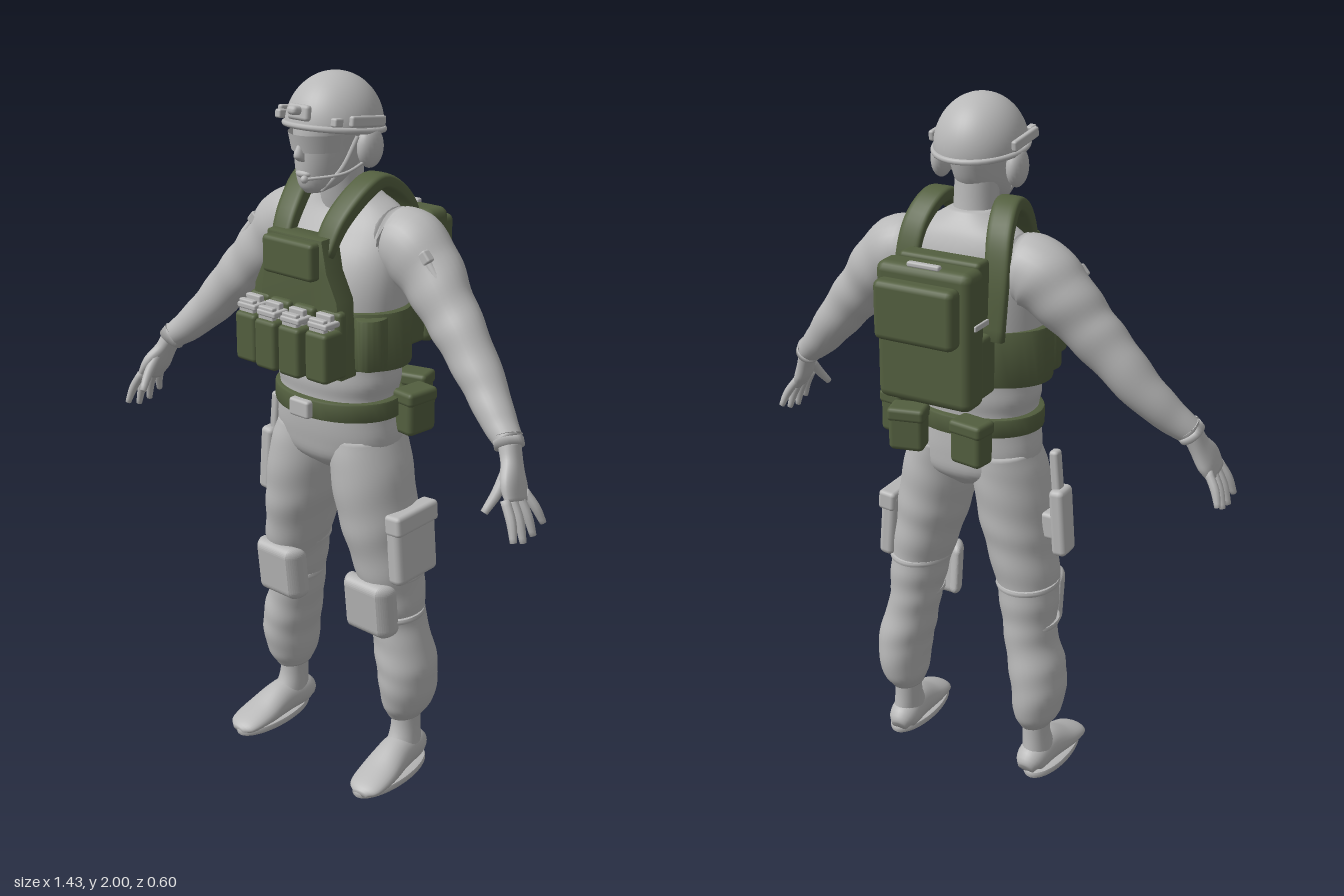
import * as THREE from 'three';
import { toCreasedNormals } from 'three/addons/utils/BufferGeometryUtils.js';
import { RoundedBoxGeometry } from 'three/addons/geometries/RoundedBoxGeometry.js';

const grey = new THREE.MeshStandardMaterial({ color: 0xb8b8b8, side: THREE.DoubleSide });
grey.name = 'cloth grey';
const green = new THREE.MeshStandardMaterial({ color: 0x535f3f, side: THREE.DoubleSide });
green.name = 'webbing green';

function add(parent, name, geo, mat, x = 0, y = 0, z = 0) {
  const m = new THREE.Mesh(geo, mat);
  m.name = name;
  m.position.set(x, y, z);
  parent.add(m);
  return m;
}

// Rounded box
const box = (p, name, mat, w, h, d, x, y, z, r = 0.012) =>
  add(p, name, new RoundedBoxGeometry(w, h, d, 2, Math.min(r, w * 0.45, h * 0.45, d * 0.45)), mat, x, y, z);

// Smooth skin over elliptical rings; rows are [x, y, z, radiusA, radiusB]
function loft(rows, { level = false, n = 28, steps = 5, power = 1, ripple = 0 } = {}) {
  const path = new THREE.CatmullRomCurve3(rows.map(r => new THREE.Vector3(r[0], r[1], r[2])), false, 'catmullrom');
  const size = new THREE.CatmullRomCurve3(rows.map(r => new THREE.Vector3(r[3], r[4], 0)), false, 'catmullrom');
  const count = (rows.length - 1) * steps, pos = [], idx = [];
  const bend = v => Math.sign(v) * Math.abs(v) ** power;
  for (let i = 0; i <= count; i++) {
    const u = i / count, c = path.getPoint(u), r = size.getPoint(u);
    const t = level ? new THREE.Vector3(0, Math.sign(rows.at(-1)[1] - rows[0][1]), 0) : path.getTangent(u);
    const a = new THREE.Vector3(1, 0, 0).addScaledVector(t, -t.x).normalize();
    const b = t.clone().cross(a);
    for (let j = 0; j < n; j++) {
      const q = j / n * Math.PI * 2;
      const k = 1 + ripple * Math.sin(u * rows.length * 5 + 1.6 * Math.cos(q + u * 4)) * Math.sin(u * Math.PI);
      const p = c.clone().addScaledVector(a, bend(Math.cos(q)) * r.x * k).addScaledVector(b, bend(Math.sin(q)) * r.y * k);
      pos.push(p.x, p.y, p.z);
      if (i < count) {
        const o = i * n + j, e = i * n + (j + 1) % n;
        idx.push(o, e, o + n, e, e + n, o + n);
      }
    }
  }
  // End caps
  for (const [row, base, flip] of [[rows[0], 0, true], [rows.at(-1), count * n, false]]) {
    const mid = pos.length / 3;
    pos.push(row[0], row[1], row[2]);
    for (let j = 0; j < n; j++) {
      const o = base + j, e = base + (j + 1) % n;
      idx.push(mid, flip ? e : o, flip ? o : e);
    }
  }
  const g = new THREE.BufferGeometry();
  g.setAttribute('position', new THREE.Float32BufferAttribute(pos, 3));
  g.setIndex(idx);
  g.computeVertexNormals();
  return g;
}

// Flat oval slab with bevelled edges
function slab(rx, rz, h) {
  const b = 0.006, s = new THREE.Shape().absellipse(0, 0, rx - b, rz - b, 0, Math.PI * 2);
  const g = new THREE.ExtrudeGeometry(s, { depth: h - 2 * b, bevelThickness: b, bevelSize: b, bevelSegments: 2, curveSegments: 20 });
  return toCreasedNormals(g.rotateX(-Math.PI / 2).translate(0, b, 0), 0.7);
}

function buildHead(root) {
  const head = new THREE.Group();
  head.name = 'head';
  root.add(head);
  add(head, 'neck', loft([[0, 1.62, 0.015, 0.07, 0.06], [0, 1.7, 0.035, 0.06, 0.06], [0, 1.82, 0.05, 0.06, 0.065]], { level: true }), grey);
  add(head, 'face', loft([[0, 1.705, 0.14, 0.022, 0.03], [0, 1.725, 0.12, 0.048, 0.065], [0, 1.765, 0.092, 0.066, 0.1],
    [0, 1.82, 0.078, 0.077, 0.115], [0, 1.88, 0.07, 0.085, 0.118], [0, 1.93, 0.07, 0.07, 0.1]], { level: true }), grey);
  add(head, 'nose', loft([[0, 1.835, 0.19, 0.008, 0.01], [0, 1.805, 0.197, 0.013, 0.018], [0, 1.79, 0.19, 0.012, 0.008]], { n: 12, level: true }), grey);
  add(head, 'mouth', new THREE.SphereGeometry(0.025, 14, 10).scale(1, 0.45, 0.6), grey, 0, 1.757, 0.182);
  const visor = new THREE.CylinderGeometry(0.087, 0.08, 0.045, 24, 1, true, -1.2, 2.4).scale(1, 1, 1.35);
  add(head, 'eyewear', visor, grey, 0, 1.835, 0.09);
  // Helmet tilts slightly back
  const helmet = new THREE.Group();
  helmet.name = 'helmet';
  helmet.position.set(0, 1.862, 0.065);
  helmet.rotation.x = -0.12;
  head.add(helmet);
  add(helmet, 'helmetShell', new THREE.SphereGeometry(1, 40, 20, 0, Math.PI * 2, 0, Math.PI / 2).scale(0.122, 0.138, 0.135), grey);
  add(helmet, 'helmetRim', new THREE.TorusGeometry(1, 0.06, 8, 40).rotateX(Math.PI / 2).scale(0.122, 0.13, 0.135), grey);
  box(helmet, 'frontMount', grey, 0.07, 0.04, 0.02, 0, 0.035, 0.135);
  box(helmet, 'frontLamp', grey, 0.03, 0.022, 0.04, 0, 0.04, 0.15);
  for (const s of [-1, 1]) {
    box(helmet, 'sideRail', grey, 0.016, 0.028, 0.13, s * 0.122, 0.025, 0.015, 0.006);
    box(helmet, 'railClip', grey, 0.02, 0.022, 0.03, s * 0.095, 0.02, 0.1, 0.005);
    const cup = new THREE.SphereGeometry(1, 20, 14).scale(0.026, 0.053, 0.043);
    add(head, 'earCup', cup, grey, s * 0.112, 1.82, 0.055);
    const strap = new THREE.CatmullRomCurve3([[0.1, 1.85, 0.09], [0.073, 1.77, 0.12], [0.03, 1.712, 0.15]].map(p => new THREE.Vector3(s * p[0], p[1], p[2])));
    add(head, 'chinStrap', new THREE.TubeGeometry(strap, 12, 0.006, 6), grey);
  }
  const boom = new THREE.CatmullRomCurve3([[0.115, 1.79, 0.07], [0.1, 1.765, 0.14], [0.035, 1.752, 0.213]].map(p => new THREE.Vector3(...p)));
  add(head, 'microphoneBoom', new THREE.TubeGeometry(boom, 14, 0.004, 6), grey);
  add(head, 'microphone', new THREE.SphereGeometry(0.01, 10, 8), grey, 0.032, 1.752, 0.215);
}

function buildArm(root, s) {
  const arm = new THREE.Group();
  arm.name = s > 0 ? 'leftArm' : 'rightArm';
  root.add(arm);
  const limb = (name, rows, opt) => add(arm, name, loft(rows.map(([x, ...r]) => [s * x, ...r]), opt), grey);
  limb('sleeve', [[0.12, 1.575, 0, 0.08, 0.08], [0.2, 1.568, 0, 0.098, 0.095], [0.27, 1.515, 0.005, 0.09, 0.085],
    [0.34, 1.44, 0.02, 0.077, 0.072], [0.41, 1.365, 0.035, 0.068, 0.065], [0.49, 1.275, 0.055, 0.057, 0.058],
    [0.56, 1.205, 0.085, 0.046, 0.047], [0.61, 1.165, 0.105, 0.036, 0.038]], { ripple: 0.025, steps: 8 });
  limb('cuff', [[0.6, 1.178, 0.1, 0.038, 0.041], [0.615, 1.155, 0.11, 0.038, 0.041]], { steps: 2 });
  limb('palm', [[0.612, 1.165, 0.108, 0.026, 0.032], [0.63, 1.125, 0.12, 0.023, 0.035],
    [0.652, 1.08, 0.14, 0.022, 0.05], [0.672, 1.04, 0.152, 0.014, 0.046]], { power: 0.85 });
  const digit = (name, a, b, r) => {
    const mid = a.map((v, i) => (v + b[i]) / 2 + (i === 0 ? 0.006 : 0));
    limb(name, [[...a, r, r], [...mid, r, r], [...b, r * 0.7, r * 0.7]], { n: 10, steps: 4 });
  };
  for (let i = 0; i < 4; i++) {
    const drop = [0.025, 0.005, 0, 0.015][i];
    digit('finger', [0.664, 1.055, 0.113 + i * 0.026], [0.708, 0.945 + drop, 0.085 + i * 0.042], 0.0125);
  }
  digit('thumb', [0.635, 1.11, 0.15], [0.625, 1.02, 0.222], 0.014);
  // Upper sleeve pocket
  const patch = new THREE.Group();
  patch.name = 'sleevePocket';
  patch.position.set(s * 0.325, 1.535, 0.02);
  patch.rotation.z = -s * 0.86;
  arm.add(patch);
  box(patch, 'pocketBody', grey, 0.11, 0.03, 0.1, 0, -0.004, 0);
  box(patch, 'pocketFlap', grey, 0.035, 0.034, 0.106, -s * 0.04, 0, 0, 0.006);
}

function buildLeg(root, s) {
  const leg = new THREE.Group();
  leg.name = s > 0 ? 'leftLeg' : 'rightLeg';
  root.add(leg);
  const limb = (name, rows, opt) => add(leg, name, loft(rows.map(([x, ...r]) => [s * x, ...r]), opt), grey);
  limb('trouserLeg', [[0.1, 1.04, 0.04, 0.085, 0.12], [0.112, 0.96, 0.045, 0.103, 0.127], [0.13, 0.85, 0.045, 0.107, 0.125],
    [0.15, 0.75, 0.042, 0.099, 0.118], [0.175, 0.64, 0.035, 0.089, 0.105], [0.187, 0.55, 0.025, 0.08, 0.095],
    [0.196, 0.47, 0.018, 0.075, 0.088], [0.218, 0.38, 0.015, 0.081, 0.096], [0.23, 0.3, 0.013, 0.077, 0.1],
    [0.228, 0.22, 0.01, 0.067, 0.088], [0.222, 0.172, 0.012, 0.045, 0.06]], { level: true, ripple: 0.02, steps: 8 });
  limb('ankle', [[0.222, 0.22, 0.012, 0.04, 0.048], [0.224, 0.13, 0.014, 0.04, 0.048], [0.228, 0.06, 0.03, 0.045, 0.07]], { level: true });
  limb('foot', [[0.222, 0.03, -0.05, 0.025, 0.02], [0.224, 0.05, -0.02, 0.045, 0.046], [0.23, 0.055, 0.06, 0.05, 0.055],
    [0.238, 0.037, 0.15, 0.058, 0.035], [0.243, 0.024, 0.22, 0.05, 0.02], [0.245, 0.016, 0.245, 0.022, 0.01]]);
  add(leg, 'sole', slab(0.062, 0.148, 0.022), grey, s * 0.235, 0, 0.1);
  // Curved knee pad
  const pad = new RoundedBoxGeometry(0.166, 0.17, 0.06, 5, 0.028), p = pad.attributes.position;
  for (let i = 0; i < p.count; i++) p.setZ(i, p.getZ(i) - 5 * p.getX(i) ** 2 + p.getY(i) * 0.1);
  pad.computeVertexNormals();
  add(leg, 'kneePad', pad, grey, s * 0.17, 0.55, 0.138);
  for (const y of [0.5, 0.625]) add(leg, 'kneeStrap', slab(0.09 - (0.625 - y) * 0.08, 0.104 - (0.625 - y) * 0.1, 0.018), grey, s * (0.178 + (0.625 - y) * 0.12), y, 0.03);
}

function buildVest(root) {
  const vest = new THREE.Group();
  vest.name = 'vest';
  root.add(vest);
  add(vest, 'waistBand', slab(0.222, 0.148, 0.16), green, 0, 1.25, 0.048);
  const outline = new THREE.Shape([[-0.15, 1.25], [0.15, 1.25], [0.14, 1.45], [0.105, 1.52], [0.09, 1.6], [-0.09, 1.6], [-0.105, 1.52], [-0.14, 1.45]]
    .map(p => new THREE.Vector2(...p)));
  add(vest, 'frontPlate', toCreasedNormals(new THREE.ExtrudeGeometry(outline, { depth: 0.055, bevelThickness: 0.006, bevelSize: 0.006, bevelSegments: 2 }), 0.7), green, 0, 0, 0.162);
  box(vest, 'chestPocket', green, 0.175, 0.1, 0.04, 0, 1.55, 0.234);
  [-0.125, -0.042, 0.042, 0.125].forEach(x => {
    const z = 0.257 - x * x * 0.9;
    box(vest, 'magazinePouch', green, 0.074, 0.135, 0.085, x, 1.318, z);
    box(vest, 'pouchBack', green, 0.074, 0.18, 0.03, x, 1.34, z - 0.03);
    for (const dz of [-0.004, 0.022]) box(vest, 'magazine', grey, 0.052, 0.06, 0.018, x - 0.004, 1.395 + dz * -0.3, z + dz, 0.004);
    box(vest, 'pouchTab', grey, 0.066, 0.016, 0.07, x, 1.402, z, 0.005);
  });
  for (const s of [-1, 1]) {
    add(vest, 'sidePouch', slab(0.04, 0.05, 0.14), green, s * 0.175, 1.26, 0.12);
    add(vest, 'shoulderStrap', loft([[s * 0.075, 1.56, 0.195, 0.03, 0.015], [s * 0.083, 1.64, 0.15, 0.035, 0.02], [s * 0.1, 1.71, 0.075, 0.036, 0.022],
      [s * 0.108, 1.728, 0.01, 0.036, 0.02], [s * 0.125, 1.67, -0.06, 0.036, 0.016], [s * 0.135, 1.56, -0.095, 0.034, 0.014],
      [s * 0.13, 1.4, -0.105, 0.032, 0.014]], { power: 0.5, n: 24 }), green);
  }
}

function buildBackpack(root) {
  const pack = new THREE.Group();
  pack.name = 'backpack';
  root.add(pack);
  box(pack, 'backPanel', green, 0.26, 0.17, 0.075, 0, 1.335, -0.125);
  box(pack, 'upperPanel', green, 0.24, 0.18, 0.06, 0, 1.53, -0.132);
  box(pack, 'mainBag', green, 0.28, 0.375, 0.09, 0, 1.428, -0.205, 0.025);
  box(pack, 'topPocket', green, 0.235, 0.16, 0.055, 0, 1.502, -0.2725, 0.018);
  box(pack, 'carryHandle', grey, 0.095, 0.014, 0.018, 0, 1.617, -0.232, 0.005);
  for (const s of [-1, 1]) box(pack, 'compressionBuckle', grey, 0.008, 0.016, 0.07, s * 0.142, 1.47, -0.19, 0.003);
}

function buildBelt(root) {
  const belt = new THREE.Group();
  belt.name = 'belt';
  root.add(belt);
  add(belt, 'beltStrap', slab(0.196, 0.15, 0.055), green, 0, 1.1, 0.05);
  box(belt, 'buckle', grey, 0.07, 0.05, 0.03, 0, 1.127, 0.202, 0.008);
  // Pouches: [x, z, turn]
  for (const [x, z, turn] of [[0.21, -0.02, 1.45], [0.12, -0.125, 0.25], [-0.08, -0.13, -0.15]]) {
    const pouch = box(belt, 'beltPouch', green, 0.1, 0.125, 0.07, x, 1.11, z, 0.015);
    const flap = box(pouch, 'pouchFlap', green, 0.106, 0.04, 0.076, 0, 0.043, 0, 0.012);
    flap.name = 'beltPouchFlap';
    pouch.rotation.y = turn;
  }
}

export function createModel() {
  const root = new THREE.Group();
  root.name = 'soldier';
  add(root, 'torso', loft([[0, 0.925, 0.035, 0.04, 0.07], [0, 0.97, 0.04, 0.165, 0.12], [0, 1.03, 0.045, 0.192, 0.132],
    [0, 1.1, 0.05, 0.183, 0.135], [0, 1.155, 0.05, 0.176, 0.132], [0, 1.2, 0.05, 0.184, 0.137], [0, 1.26, 0.048, 0.18, 0.135],
    [0, 1.35, 0.045, 0.198, 0.138], [0, 1.45, 0.04, 0.205, 0.138], [0, 1.53, 0.028, 0.205, 0.126], [0, 1.6, 0.01, 0.195, 0.103],
    [0, 1.65, 0.002, 0.16, 0.08], [0, 1.685, 0.008, 0.1, 0.065], [0, 1.71, 0.02, 0.06, 0.055]], { level: true, n: 40, power: 0.9 }), grey);
  buildHead(root);
  for (const s of [-1, 1]) {
    buildArm(root, s);
    buildLeg(root, s);
  }
  buildVest(root);
  buildBackpack(root);
  buildBelt(root);
  // Left thigh cargo pocket
  box(root, 'thighPocket', grey, 0.05, 0.2, 0.17, 0.247, 0.735, 0.03, 0.018).rotation.z = 0.08;
  box(root, 'thighPocketFlap', grey, 0.055, 0.06, 0.176, 0.246, 0.815, 0.03).rotation.z = 0.08;
  // Right thigh sheath
  box(root, 'sheath', grey, 0.045, 0.2, 0.075, -0.28, 0.85, 0.03, 0.015).rotation.z = -0.08;
  box(root, 'sheathHandle', grey, 0.028, 0.14, 0.035, -0.26, 0.99, 0.03, 0.01).rotation.z = -0.1;
  box(root, 'sheathMount', grey, 0.05, 0.08, 0.05, -0.245, 0.83, 0.03);
  return root;
}
